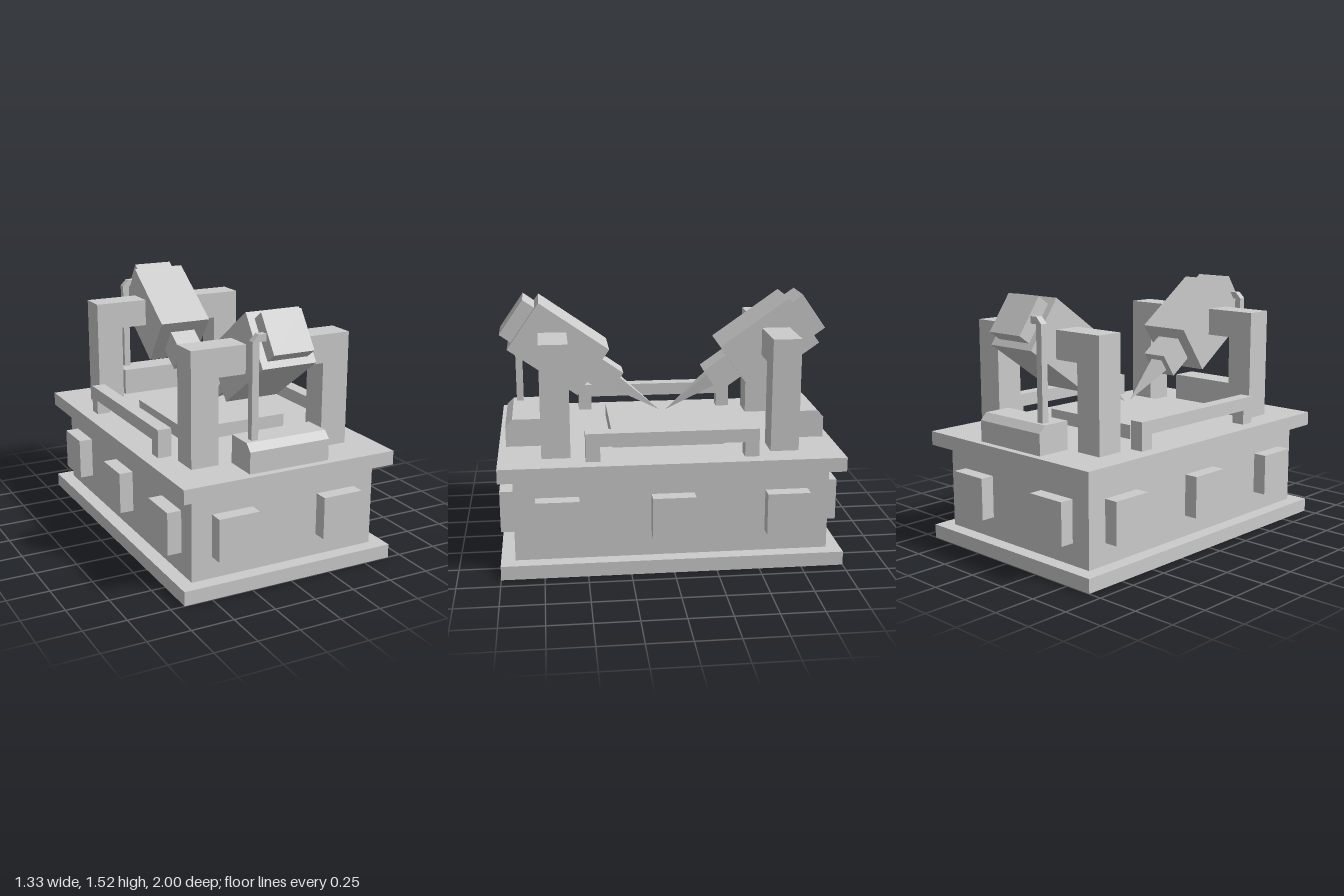
import * as THREE from 'three';

const material = new THREE.MeshStandardMaterial({ color: 0xcccccc, flatShading: true });

function add(parent, name, geometry) {
  const mesh = new THREE.Mesh(geometry, material);
  mesh.name = name;
  parent.add(mesh);
  return mesh;
}

// Box given by its extents along each axis
function box(parent, name, [x0, x1], [y0, y1], [z0, z1]) {
  const mesh = add(parent, name, new THREE.BoxGeometry(x1 - x0, y1 - y0, z1 - z0));
  mesh.position.set((x0 + x1) / 2, (y0 + y1) / 2, (z0 + z1) / 2);
  return mesh;
}

// Outline extruded along z, centred on z = 0
function prism(points, depth) {
  const shape = new THREE.Shape(points.map(([x, y]) => new THREE.Vector2(x, y)));
  return new THREE.ExtrudeGeometry(shape, { depth, bevelEnabled: false }).translate(0, 0, -depth / 2);
}

// Upside-down U outline standing on y0
function bridge(half, inner, y0, yInner, y1) {
  return [[-half, y0], [-inner, y0], [-inner, yInner], [inner, yInner],
    [inner, y0], [half, y0], [half, y1], [-half, y1]];
}

// Tilted head: local -z points along the tool towards the work table
function createHead() {
  const head = new THREE.Group();
  head.name = 'toolHead';
  box(head, 'headBody', [-0.167, 0.167], [-0.167, 0.167], [-0.25, 0.25]);
  box(head, 'headCap', [-0.125, 0.125], [-0.125, 0.125], [0.25, 0.333]);
  box(head, 'nozzle', [-0.083, 0.083], [-0.083, 0.083], [-0.417, -0.25]);
  const tip = new THREE.ConeGeometry(0.0417 * Math.SQRT2, 0.333, 4);
  tip.rotateY(Math.PI / 4).rotateX(-Math.PI / 2).translate(0, 0, -0.583);
  add(head, 'tip', tip);
  head.position.set(0, 1.228, 0.634);
  head.rotation.x = THREE.MathUtils.degToRad(-35);
  return head;
}

// Arch, head, end housing and cable; side is 1 at the front and -1 at the back
function createStation(side) {
  const station = new THREE.Group();
  station.name = side > 0 ? 'frontStation' : 'backStation';
  add(station, 'arch', prism(bridge(0.5, 0.333, 0.667, 1.167, 1.333), 0.167)).position.z = 0.667;
  station.add(createHead());

  const housing = [[0.75, 0.667], [0.958, 0.667], [0.958, 0.792], [0.917, 0.833], [0.75, 0.833]];
  add(station, 'endHousing', prism(housing, 0.5).rotateY(-Math.PI / 2));

  // The cable stays on the same side of the machine at both ends
  const cable = [[-0.208, 0.833], [-0.167, 0.833], [-0.167, 1.377], [-0.125, 1.377],
    [-0.125, 1.418], [-0.17, 1.418], [-0.208, 1.38]];
  add(station, 'cable', prism(cable.map(([x, y]) => [x * side, y]), 0.042)).position.z = 0.875;

  if (side < 0) station.rotation.y = Math.PI;
  return station;
}

export function createModel() {
  const model = new THREE.Group();
  model.name = 'machine';

  // Base cabinet
  box(model, 'bottomSlab', [-0.667, 0.667], [0, 0.083], [-1, 1]);
  box(model, 'cabinet', [-0.583, 0.583], [0.083, 0.583], [-0.917, 0.917]);
  box(model, 'topSlab', [-0.667, 0.667], [0.583, 0.667], [-1, 1]);
  box(model, 'workTable', [-0.333, 0.333], [0.667, 0.75], [-0.333, 0.333]);

  for (const side of [1, -1]) {
    // Raised panels around the cabinet
    for (const x of [-0.333, 0.333]) {
      box(model, 'endPanel', [x - 0.125, x + 0.125], [0.21, 0.46], [-0.042, 0.042]).position.z = side * 0.958;
    }
    for (const z of [-0.667, 0, 0.667]) {
      box(model, 'sidePanel', [-0.042, 0.042], [0.21, 0.46], [z - 0.125, z + 0.125]).position.x = side * 0.625;
    }
    // Side rail and end station
    const rail = prism(bridge(0.5, 0.417, 0.667, 0.755, 0.833), 0.083).rotateY(-Math.PI / 2);
    add(model, 'sideRail', rail).position.x = side * 0.542;
    model.add(createStation(side));
  }
  return model;
}
